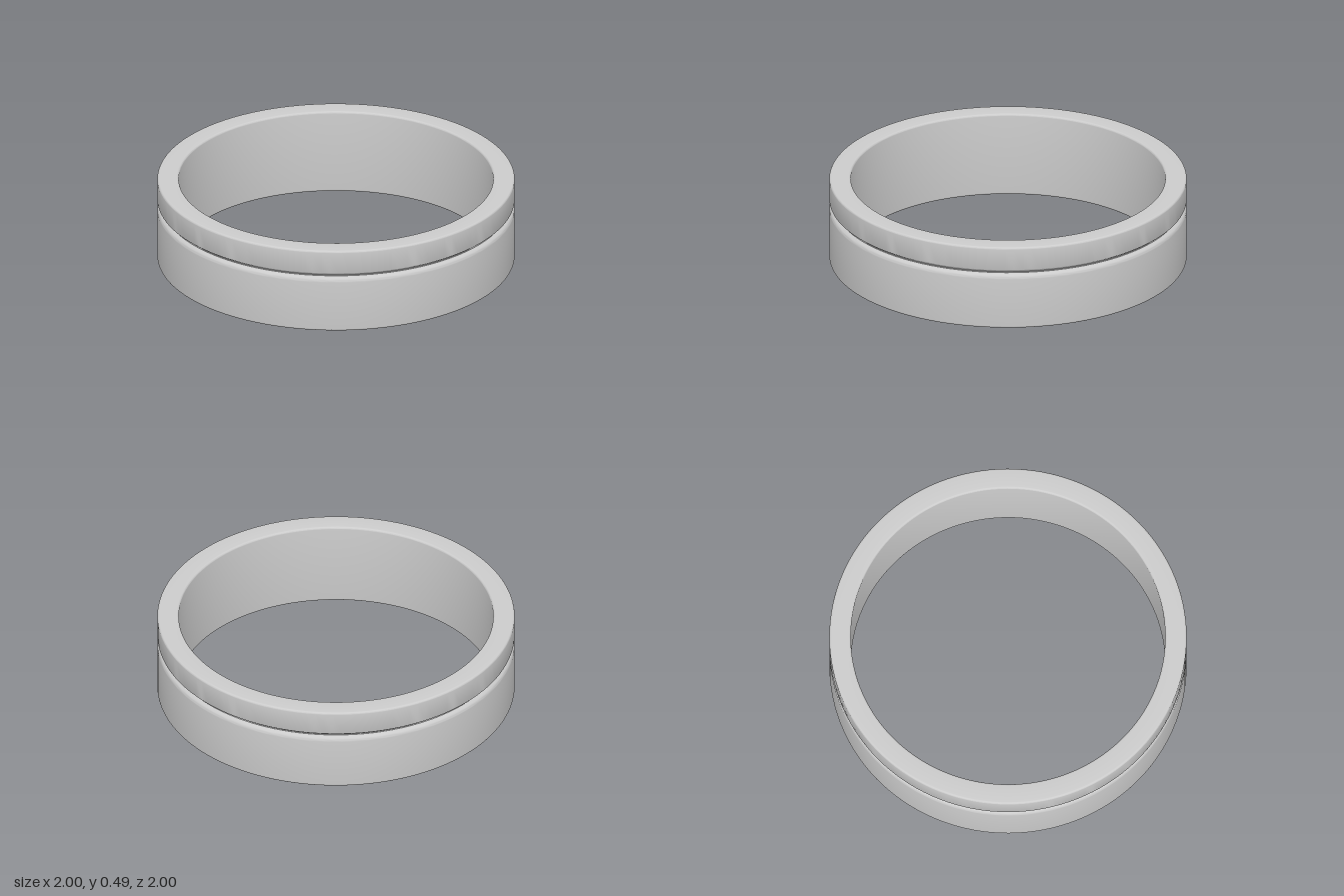
import * as THREE from 'three';
import { toCreasedNormals } from 'three/addons/utils/BufferGeometryUtils.js';

const OUTER = 1, INNER = 0.88, HEIGHT = 0.49, FILLET = 0.012;

// Quarter-round corner centred on (cx, cy), starting at angle a0 (degrees)
function corner(cx, cy, a0, r = FILLET, sweep = 90, steps = 6) {
  return Array.from({ length: steps + 1 }, (_, i) => {
    const a = THREE.MathUtils.degToRad(a0 + (sweep * i) / steps);
    return new THREE.Vector2(cx + r * Math.cos(a), cy + r * Math.sin(a));
  });
}

export function createModel() {
  const group = new THREE.Group();
  group.name = 'ring';

  const f = FILLET;
  // Closed cross-section: bottom, outer wall with V groove, top, inner wall
  const profile = [
    ...corner(INNER + f, f, 180),
    ...corner(OUTER - f, f, 270),
    // softly rounded shoulder under the groove
    ...corner(OUTER - 0.03, 0.297, 0, 0.03, 50, 4),
    // groove floor
    new THREE.Vector2(0.975, 0.328),
    new THREE.Vector2(0.975, 0.334),
    // lip above the groove
    ...corner(OUTER - 0.01, 0.358, 310, 0.01, 50, 3),
    ...corner(OUTER - f, HEIGHT - f, 0),
    ...corner(INNER + f, HEIGHT - f, 90),
  ];
  profile.push(profile[0].clone());

  const geometry = toCreasedNormals(new THREE.LatheGeometry(profile, 128), THREE.MathUtils.degToRad(28));
  const band = new THREE.Mesh(geometry, new THREE.MeshStandardMaterial({ color: 0xcccccc }));
  band.name = 'groovedBand';
  group.add(band);
  return group;
}
